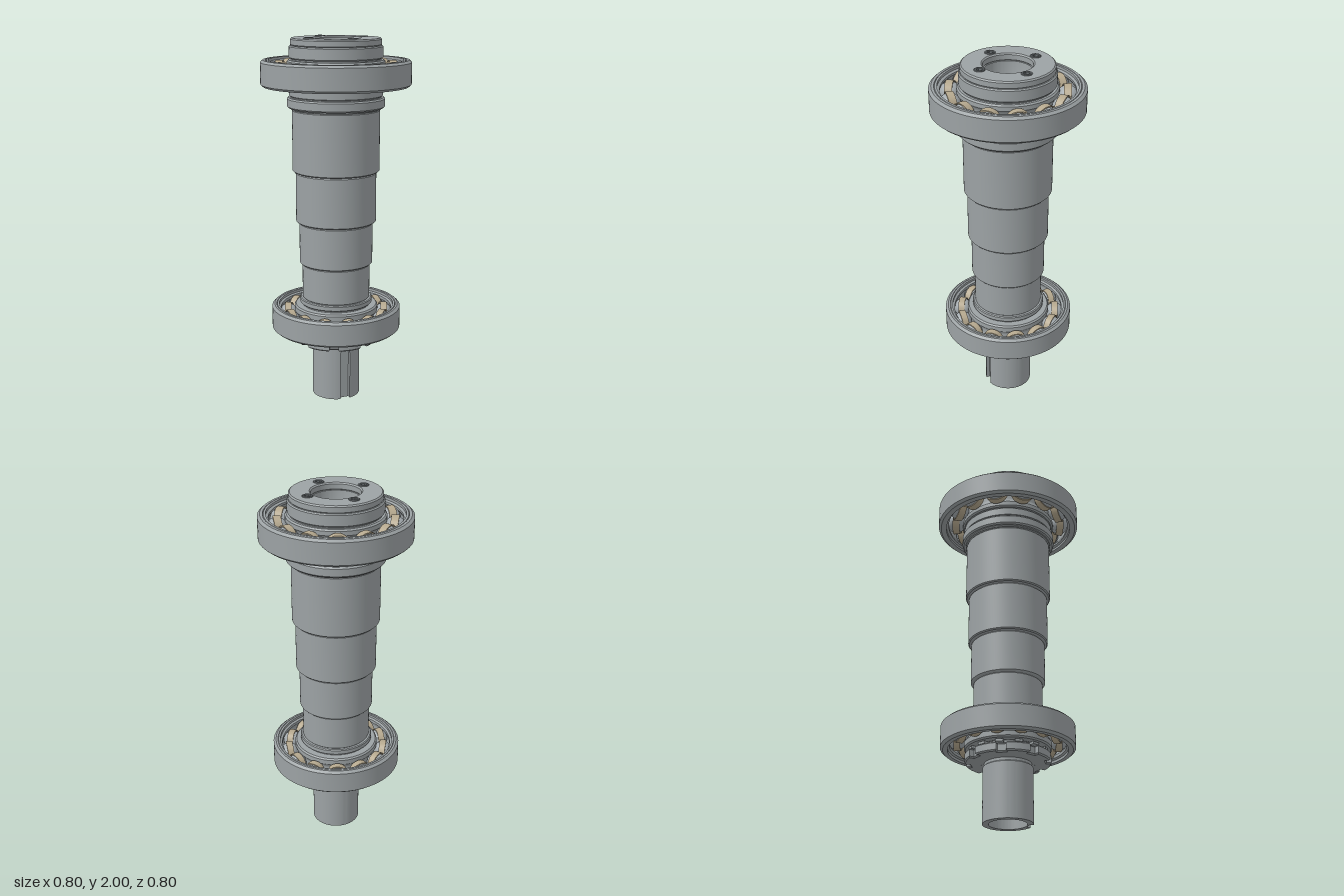
import * as THREE from 'three';
import { toCreasedNormals } from 'three/addons/utils/BufferGeometryUtils.js';

const material = (name, color) => Object.assign(new THREE.MeshStandardMaterial({ color }), { name });
const steel = material('steel', 0x9ca2a4);
const ballSteel = material('ball steel', 0xa4abaf);
const brass = material('cage tan', 0xb5a88e);
const dark = material('dark fastener steel', 0x6c7275);

const TAU = Math.PI * 2;
const range = (a, b, n) => Array.from({ length: n + 1 }, (_, i) => a + (b - a) * i / n);
const ring = (r, angle, y) => [r * Math.cos(angle), y, r * Math.sin(angle)];

function add(parent, name, geometry, mat, crease = 0.5) {
  const mesh = new THREE.Mesh(crease ? toCreasedNormals(geometry, crease) : geometry, mat);
  mesh.name = name;
  parent.add(mesh);
  return mesh;
}

const lathe = (profile) => new THREE.LatheGeometry(profile.map(([r, y]) => new THREE.Vector2(r, y)), 96);

// chamfered cylindrical step
const step = (r, y0, y1, c) => [[r - c, y0], [r, y0 + c], [r, y1 - c], [r - c, y1]];

// band of faces between rows of points
function strip(a, b) {
  const pos = [];
  for (let j = 0; j < a.length - 1; j++) {
    pos.push(...a[j + 1], ...a[j], ...b[j], ...a[j + 1], ...b[j], ...b[j + 1]);
  }
  const g = new THREE.BufferGeometry();
  g.setAttribute('position', new THREE.Float32BufferAttribute(pos, 3));
  g.computeVertexNormals();
  return g;
}

function circleHole(shape, x, y, r) {
  const path = new THREE.Path();
  path.absarc(x, y, r, 0, TAU, true);
  shape.holes.push(path);
}

// upright extrusion between y0 and y1
function plate(shape, y0, y1, bevel) {
  const g = new THREE.ExtrudeGeometry(shape, {
    depth: y1 - y0 - 2 * bevel, bevelEnabled: bevel > 0, bevelSize: bevel, bevelOffset: -bevel,
    bevelThickness: bevel, bevelSegments: 1, curveSegments: 48,
  });
  return g.rotateX(-Math.PI / 2).translate(0, y0 + bevel, 0);
}

// shaft end with a round-topped keyway
function keyedEnd() {
  const g = new THREE.Group();
  g.name = 'keyedShaftEnd';
  const R = 0.132, w = 0.028, floor = 0.108, top = 0.297, arc = 0.267;
  const a = Math.asin(w / R);
  const slot = range(-a, a, 20), rest = range(a, TAU - a, 88);
  const archY = (t) => arc + Math.sqrt(Math.max(0, w * w - (R * Math.sin(t)) ** 2));
  const flat = (t, y) => [floor, y, R * Math.sin(t)];
  add(g, 'shaftEndWall', strip(rest.map((t) => ring(R, t, 0)), rest.map((t) => ring(R, t, top))), steel);
  add(g, 'wallAboveKeyway', strip(slot.map((t) => ring(R, t, archY(t))), slot.map((t) => ring(R, t, top))), steel);
  add(g, 'keywayFloor', strip(slot.map((t) => flat(t, 0)), slot.map((t) => flat(t, archY(t)))), steel);
  add(g, 'keywayRoundEnd', strip(slot.map((t) => flat(t, archY(t))), slot.map((t) => ring(R, t, archY(t)))), steel);
  add(g, 'keywaySide', strip([flat(a, 0), ring(R, a, 0)], [flat(a, arc), ring(R, a, arc)]), steel);
  add(g, 'keywaySide', strip([ring(R, -a, 0), flat(-a, 0)], [ring(R, -a, arc), flat(-a, arc)]), steel);
  const face = new THREE.Shape();
  face.absarc(0, 0, R, a, TAU - a, false);
  face.lineTo(floor, -w);
  face.lineTo(floor, w);
  circleHole(face, 0, 0, 0.1);
  add(g, 'shaftEndFace', new THREE.ShapeGeometry(face, 64).rotateX(Math.PI / 2), steel);
  g.rotation.y = -0.328;
  return g;
}

// ball bearing; s scales it radially
function bearing(name, y, s, bore) {
  const g = new THREE.Group();
  g.name = name;
  g.position.y = y;
  const H = 0.07, count = 13, pitch = 0.303 * s, rb = 0.057 * s;
  const race = (sign) => range(-0.75, 0.75, 10).map((t) =>
    [pitch + sign * rb * Math.cos(t), rb * Math.sin(t)]);
  const ro = 0.402 * s, lip = 0.358 * s, shoulder = 0.345 * s, inner = 0.261 * s;
  add(g, 'outerRing', lathe([
    [lip, -H], [ro - 0.014, -H], [ro, -H + 0.012], [ro, H - 0.012], [ro - 0.014, H],
    [0.374 * s, H], [0.372 * s, H - 0.004], [0.37 * s, H], [lip, H], [lip, H - 0.014], [shoulder, H - 0.02],
    ...race(1).reverse(), [shoulder, -H + 0.02], [lip, -H + 0.014], [lip, -H],
  ]), steel);
  add(g, 'innerRing', lathe([
    [bore, -H], [inner - 0.008, -H], [inner, -H + 0.008], ...race(-1), [inner, H - 0.008], [inner - 0.008, H],
    [bore, H], [bore, -H],
  ]), steel);

  // two wavy cage halves wrapped over the balls
  const angles = range(0, TAU, count * 20);
  const wave = (t, r, min) => {
    const d = pitch * (t - Math.round(t * count / TAU) * TAU / count);
    return Math.max(min, Math.sqrt(Math.max(0, r * r - d * d)));
  };
  const ri = 0.283 * s, rc = 0.323 * s;
  const rows = [
    [rc, rb + 0.001, 0.001], [rc, rb + 0.007, 0.009], [ri, rb + 0.007, 0.009], [ri, rb + 0.001, 0.001],
  ].map(([r, size, min]) => angles.map((t) => ring(r, t, wave(t, size, min))));
  for (const turn of [0, Math.PI]) {
    const half = new THREE.Group();
    half.name = 'cageHalf';
    rows.forEach((row, i) => add(half, 'cageBand', strip(row, rows[(i + 1) % 4]), brass, 0.7));
    half.rotation.x = turn;
    g.add(half);
  }
  const ballGeo = new THREE.SphereGeometry(rb, 32, 20);
  const rivetGeo = new THREE.SphereGeometry(0.014 * s, 16, 12);
  for (let i = 0; i < count; i++) {
    const t = i * TAU / count;
    add(g, 'ball', ballGeo, ballSteel, 0).position.set(...ring(pitch, t, 0));
    const rivet = add(g, 'cageRivet', rivetGeo, dark, 0);
    rivet.position.set(...ring(pitch, t + Math.PI / count, 0));
    rivet.scale.y = 1.3;
  }
  return g;
}

// disc outline with notches (depth > 0) or tabs (depth < 0) around a bore
function notchedDisc(r, depth, half, count, bore) {
  const shape = new THREE.Shape();
  for (let i = 0; i < count; i++) {
    const mid = i * TAU / count, next = mid + TAU / count;
    for (const t of [mid - half, mid + half]) {
      const x = (r - depth) * Math.cos(t), y = (r - depth) * Math.sin(t);
      if (i === 0 && t < mid) shape.moveTo(x, y); else shape.lineTo(x, y);
    }
    for (const t of range(mid + half, next - half, 10)) shape.lineTo(r * Math.cos(t), r * Math.sin(t));
  }
  shape.closePath();
  circleHole(shape, 0, 0, bore);
  return shape;
}

export function createModel() {
  const model = new THREE.Group();
  model.name = 'bearingShaft';

  // stepped hollow shaft
  add(model, 'steppedShaft', lathe([
    [0.132, 0.297], [0.125, 0.303], [0.125, 0.318], [0.15, 0.322], [0.15, 0.39],
    ...step(0.186, 0.39, 0.536, 0.004),
    ...step(0.2, 0.54, 0.572, 0.005),
    ...step(0.186, 0.572, 0.765, 0.004),
    ...step(0.201, 0.768, 1.0, 0.006),
    ...step(0.219, 1.003, 1.28, 0.006),
    ...step(0.236, 1.283, 1.62, 0.006),
    ...step(0.243, 1.62, 1.628, 0.001),
    ...step(0.262, 1.628, 1.684, 0.008),
    [0.243, 1.684], [0.243, 1.69],
    ...step(0.25, 1.69, 1.738, 0.004),
    [0.24, 1.742], [0.24, 1.888],
    ...step(0.25, 1.888, 1.956, 0.006),
    [0.125, 1.956], [0.121, 1.85], [0.092, 1.76], [0.092, 0.08], [0.1, 0.07], [0.1, 0],
  ]), steel);
  model.add(keyedEnd());

  // bearings
  model.add(bearing('lowerBearing', 0.461, 0.888, 0.18));
  model.add(bearing('upperBearing', 1.811, 1, 0.232));

  // lock nut and tabbed washer
  add(model, 'lockNut', plate(notchedDisc(0.228, 0.026, 0.11, 8, 0.135), 0.32, 0.369, 0.007), steel);
  add(model, 'lockWasher', plate(notchedDisc(0.182, -0.03, 0.1, 13, 0.14), 0.375, 0.388, 0), steel);

  // end cap with countersunk bolts
  const cap = new THREE.Shape();
  cap.absarc(0, 0, 0.242, 0, TAU, false);
  circleHole(cap, 0, 0, 0.128);
  const spots = range(0, 3, 3).map((i) => ring(0.167, 0.19 + i * TAU / 4 - Math.PI / 2, 0));
  spots.forEach(([x, , z]) => circleHole(cap, x, -z, 0.022));
  add(model, 'endCap', plate(cap, 1.954, 1.995, 0.007), steel);

  const head = new THREE.Shape();
  head.absarc(0, 0, 0.028, 0, TAU, false);
  head.holes.push(new THREE.Path(range(0, 5, 5).map((i) =>
    new THREE.Vector2(0.016 * Math.cos(-i * TAU / 6), 0.016 * Math.sin(-i * TAU / 6)))));
  const headGeo = plate(head, 1.97, 2, 0.003);
  const socketGeo = new THREE.CylinderGeometry(0.02, 0.02, 0.01, 24);
  for (const [x, , z] of spots) {
    const bolt = new THREE.Group();
    bolt.name = 'capBolt';
    bolt.position.set(x, 0, z);
    add(bolt, 'boltHead', headGeo, dark);
    add(bolt, 'socketFloor', socketGeo, dark, 0).position.y = 1.98;
    model.add(bolt);
  }
  return model;
}
